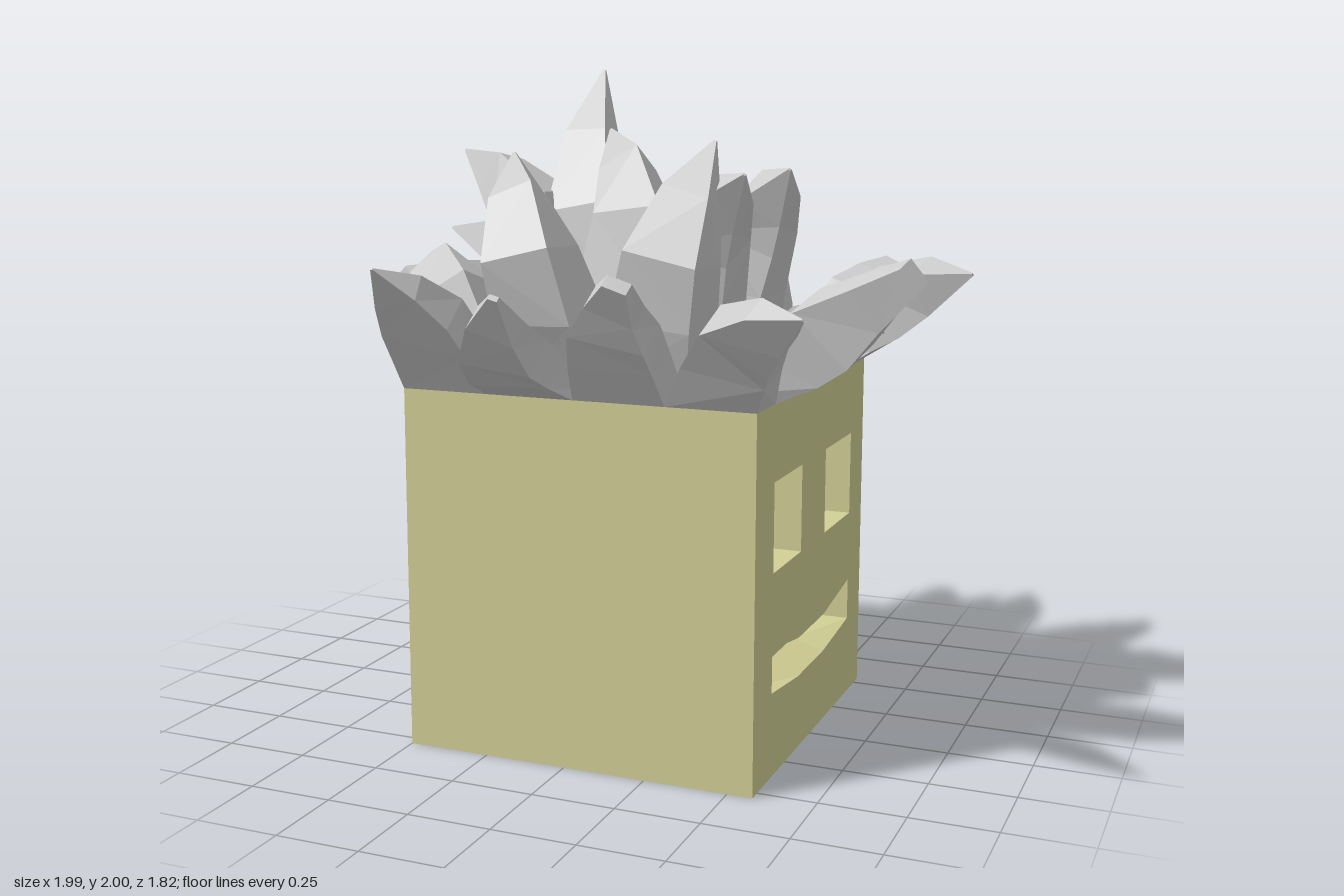
import * as THREE from 'three';

const grey = new THREE.MeshStandardMaterial({ color: 0xcccccc, flatShading: true, side: THREE.DoubleSide });
const yellow = new THREE.MeshStandardMaterial({ color: 0xd3d096, flatShading: true });

const TOP = 1.08, X0 = -0.5, X1 = 0.575, HALF = 0.54, DEPTH = 0.1;
const COLS = [-0.5, -0.23, 0.035, 0.31, 0.575];
const ROWS = [-0.54, -0.4, -0.12, 0.12, 0.38, 0.54];

// One [bend, tip, tip width] per scalp cell, row by row from back to front
const TUFTS = [
  [[-0.62, 1.35, -0.57], [-1.0, 1.45, -0.68]],
  [[-0.18, 1.38, -0.6], [-0.32, 1.62, -0.72], 0.15],
  [[0.17, 1.26, -0.66], [0.14, 1.4, -0.91]],
  [[0.55, 1.27, -0.59], [0.62, 1.38, -0.71], 0.2],
  [[-0.46, 1.56, -0.24], [-0.73, 1.74, -0.29]],
  [[-0.27, 1.55, -0.27], [-0.31, 2.0, -0.48]],
  [[0.29, 1.5, -0.25], [0.46, 1.7, -0.08]],
  [[0.72, 1.3, -0.26], [0.99, 1.4, -0.18]],
  [[-0.6, 1.31, 0.0], [-0.93, 1.26, -0.05]],
  [[0.0, 1.55, -0.02], [-0.2, 1.81, -0.28]],
  [[0.26, 1.5, 0.1], [0.46, 1.7, 0.33]],
  [[0.6, 1.23, 0.01], [0.74, 1.29, -0.03], 0.5],
  [[-0.49, 1.32, 0.25], [-0.66, 1.43, 0.08]],
  [[-0.15, 1.47, 0.42], [-0.28, 1.75, 0.25]],
  [[0.26, 1.47, 0.36], [0.35, 1.79, 0.26]],
  [[0.72, 1.29, 0.33], [0.96, 1.45, 0.42], 0.3],
  [[-0.39, 1.3, 0.62], [-0.44, 1.45, 0.8]],
  [[-0.1, 1.23, 0.7], [-0.02, 1.4, 0.9], 0.1],
  [[0.19, 1.29, 0.61], [0.26, 1.43, 0.75], 0.25],
  [[0.56, 1.28, 0.61], [0.78, 1.37, 0.81]],
];

// Four-sided spike: the cell outline swept along a bent curve to its tip
function tuftGeometry(xa, xb, za, zb, bend, tip, tipWidth = 0.03) {
  const base = new THREE.Vector3((xa + xb) / 2, TOP, (za + zb) / 2);
  const curve = new THREE.CatmullRomCurve3([base, new THREE.Vector3(...bend), new THREE.Vector3(...tip)]);
  const w = (xb - xa) / 2, d = (zb - za) / 2;
  const up = new THREE.Vector3(0, 1, 0);
  const steps = [0, 0.27, 0.5, 0.75, 1];
  const size = [1, 0.9, 0.8, 0.52, tipWidth];
  const turn = [0, 0.45, 0.85, 1, 1];
  const rings = steps.map((t, i) => {
    const centre = curve.getPoint(t);
    const lean = new THREE.Quaternion().setFromUnitVectors(up, curve.getTangent(t));
    const q = new THREE.Quaternion().slerp(lean, turn[i]);
    return [[1, 1], [1, -1], [-1, -1], [-1, 1]].map(([sx, sz]) => {
      const v = new THREE.Vector3(sx * w * size[i], 0, sz * d * size[i]).applyQuaternion(q).add(centre);
      v.y = Math.max(v.y, TOP + t * 0.15);
      return v;
    });
  });
  const pts = [];
  for (let i = 0; i < rings.length - 1; i++) {
    for (let j = 0; j < 4; j++) {
      const k = (j + 1) % 4;
      const a = rings[i][j], b = rings[i][k], c = rings[i + 1][k], e = rings[i + 1][j];
      if ((i + j) % 2) pts.push(a, b, c, a, c, e);
      else pts.push(a, b, e, b, c, e);
    }
  }
  const [a, b, c, e] = rings[rings.length - 1];
  pts.push(a, b, c, a, c, e);
  const g = new THREE.BufferGeometry().setFromPoints(pts);
  g.computeVertexNormals();
  return g;
}

function polygon(points, Type = THREE.Shape) {
  return new Type(points.map(([x, y]) => new THREE.Vector2(x, y)));
}

function rect(x0, x1, y0, y1) {
  return [[x0, y0], [x1, y0], [x1, y1], [x0, y1]];
}

export function createModel() {
  const group = new THREE.Group();
  const add = (name, geometry, material, parent = group) => {
    const mesh = new THREE.Mesh(geometry, material);
    mesh.name = name;
    parent.add(mesh);
    return mesh;
  };
  const frontX = X1 - DEPTH;

  // Solid block behind the face
  add('headBlock', new THREE.BoxGeometry(frontX - X0, TOP, HALF * 2), yellow)
    .position.set((X0 + frontX) / 2, TOP / 2, 0);

  // Face plate on the +x side with eye and mouth openings
  const eyes = [[-0.38, -0.12], [0.12, 0.4]];
  const lipY = 0.222, floorY = 0.25;
  const plate = polygon(rect(-HALF, HALF, 0, TOP));
  eyes.forEach(([a, b]) => plate.holes.push(polygon(rect(a, b, 0.6, 0.86), THREE.Path)));
  plate.holes.push(polygon([[-0.38, floorY], [-0.13, lipY], [0.13, lipY], [0.4, floorY],
    [0.4, 0.38], [0.13, 0.34], [-0.13, 0.34], [-0.38, 0.38]], THREE.Path));
  const faceGeo = new THREE.ExtrudeGeometry(plate, { depth: DEPTH, bevelEnabled: false });
  // Level the mouth floor at the back of the recess
  const p = faceGeo.attributes.position;
  for (let i = 0; i < p.count; i++) {
    if (p.getZ(i) < DEPTH / 2 && Math.abs(p.getY(i) - lipY) < 0.001) p.setY(i, floorY);
  }
  faceGeo.computeVertexNormals();
  const face = add('facePlate', faceGeo, yellow);
  face.rotation.y = Math.PI / 2;
  face.position.x = frontX;

  // Eyes at the back of their recesses
  eyes.forEach(([a, b]) => {
    const eye = add('eye', new THREE.PlaneGeometry(b - a, 0.26), grey);
    eye.rotation.y = Math.PI / 2;
    eye.position.set(frontX + 0.003, 0.73, -(a + b) / 2);
  });

  // Scalp
  const scalp = add('scalp', new THREE.PlaneGeometry(X1 - X0, HALF * 2), grey);
  scalp.rotation.x = -Math.PI / 2;
  scalp.position.set((X0 + X1) / 2, TOP + 0.002, 0);

  // Hair, one tuft per cell
  const hair = new THREE.Group();
  hair.name = 'hair';
  group.add(hair);
  TUFTS.forEach(([bend, tip, tipWidth], i) => {
    const c = i % 4, r = Math.floor(i / 4);
    const tuft = tuftGeometry(COLS[c], COLS[c + 1], ROWS[r], ROWS[r + 1], bend, tip, tipWidth);
    add('hairTuft', tuft, grey, hair);
  });
  return group;
}
